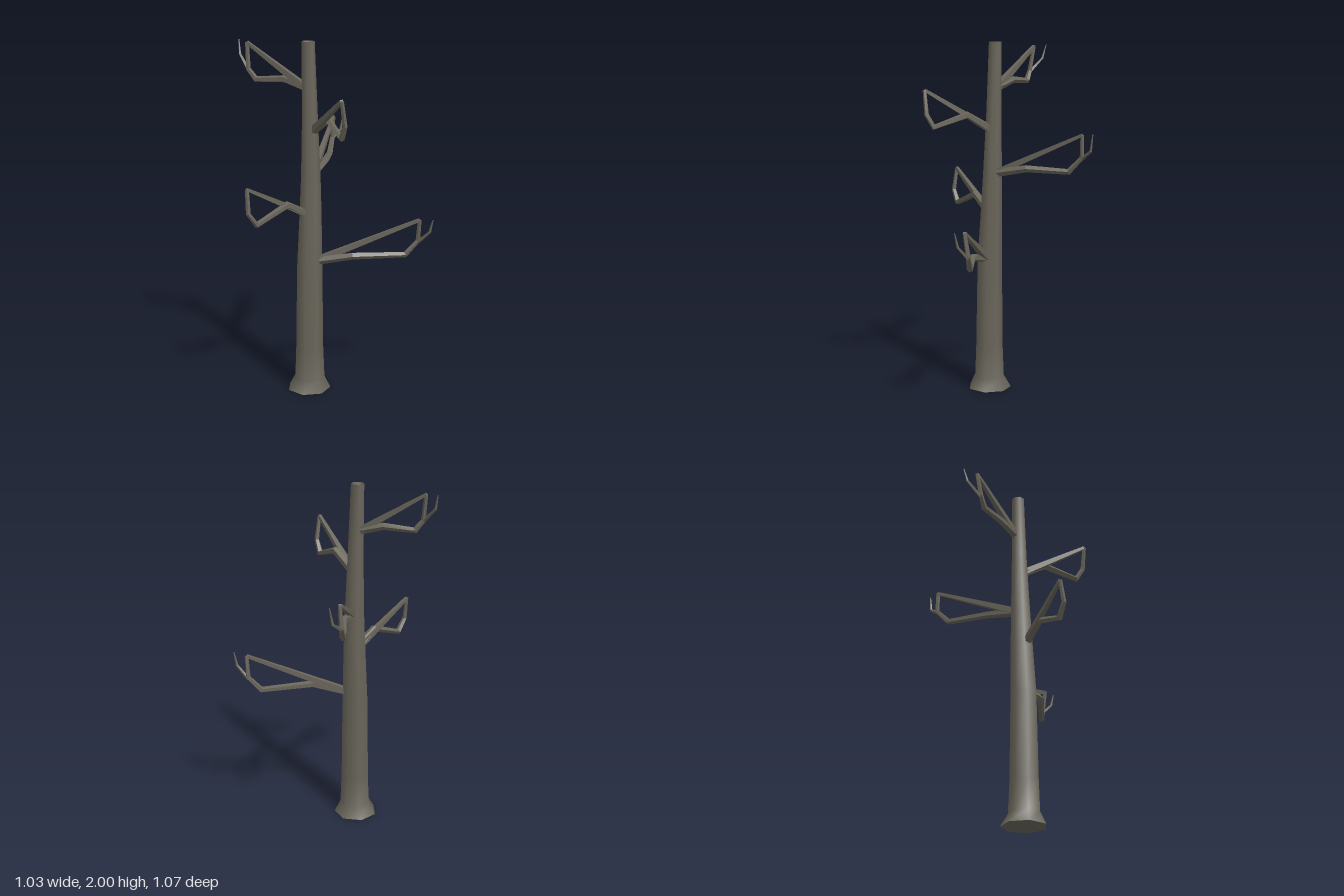
import * as THREE from 'three';
import { toCreasedNormals } from 'three/addons/utils/BufferGeometryUtils.js';

const V = (p) => new THREE.Vector3(...p);

// Closed loft through points with a radius each. `side` orients the rings;
// `axis` fixes the ring normal (otherwise it follows the path).
function loft(points, radii, sides, side, { axis = null, start = 0, crease = 0.3 } = {}) {
  const pts = points.map(V), pos = [], idx = [], n = pts.length;
  pts.forEach((p, i) => {
    let t = axis;
    if (!t) {
      const a = p.clone().sub(pts[Math.max(i - 1, 0)]).normalize();
      const b = pts[Math.min(i + 1, n - 1)].clone().sub(p).normalize();
      t = a.add(b).normalize();
    }
    const u = side.clone().addScaledVector(t, -side.dot(t)).normalize();
    const v = u.clone().cross(t);
    for (let k = 0; k < sides; k++) {
      const a = start + (k / sides) * Math.PI * 2;
      const q = p.clone().addScaledVector(u, Math.cos(a) * radii[i]).addScaledVector(v, Math.sin(a) * radii[i]);
      pos.push(q.x, q.y, q.z);
    }
  });
  for (let i = 0; i < n - 1; i++) {
    for (let k = 0; k < sides; k++) {
      const a = i * sides + k, b = i * sides + (k + 1) % sides;
      idx.push(a, a + sides, b, b, a + sides, b + sides);
    }
  }
  // end caps
  const last = (n - 1) * sides;
  for (let k = 1; k < sides - 1; k++) {
    idx.push(0, k, k + 1, last, last + k + 1, last + k);
  }
  const g = new THREE.BufferGeometry();
  g.setAttribute('position', new THREE.Float32BufferAttribute(pos, 3));
  g.setIndex(idx);
  return toCreasedNormals(g, crease);
}

export function createModel() {
  const model = new THREE.Group();
  model.name = 'bareTree';
  const bark = new THREE.MeshStandardMaterial({ color: 0x69655a });
  bark.name = 'greyBark';

  const add = (parent, name, geometry) => {
    const mesh = new THREE.Mesh(geometry, bark);
    mesh.name = name;
    parent.add(mesh);
  };

  // Trunk: flared foot, gentle lean and taper, shallow hollow at the broken top
  const trunk = [
    [-0.1, 0, -0.06, 0.125], [-0.101, 0.07, -0.056, 0.088], [-0.101, 0.25, -0.056, 0.081],
    [-0.097, 0.75, -0.056, 0.074], [-0.084, 1.05, -0.058, 0.064], [-0.077, 1.27, -0.06, 0.056],
    [-0.073, 1.6, -0.067, 0.045], [-0.072, 2, -0.077, 0.037], [-0.072, 1.92, -0.077, 0.018],
  ];
  add(model, 'trunk', loft(trunk.map((s) => s.slice(0, 3)), trunk.map((s) => s[3]), 7,
    new THREE.Vector3(1, 0, 0), { axis: new THREE.Vector3(0, 1, 0), start: 0.09, crease: 1.05 }));

  // Branches: root, middle, elbow, bend, tip; some carry a twig
  const branches = [
    { name: 'lowFrontBranch',
      limb: [[-0.085, 0.775, -0.02], [0.005, 0.815, 0.17], [0.215, 0.81, 0.385], [0.26, 0.89, 0.44], [0.25, 1.015, 0.455]],
      twig: [[0.26, 0.88, 0.44], [0.262, 0.95, 0.515], [0.26, 1.025, 0.535]] },
    { name: 'rightBranch',
      limb: [[-0.1, 1.04, -0.055], [-0.25, 1.125, -0.09], [-0.455, 1.05, -0.14], [-0.505, 1.12, -0.155], [-0.495, 1.25, -0.17]] },
    { name: 'leftBranch',
      limb: [[-0.05, 1.265, -0.06], [0.14, 1.3, -0.115], [0.35, 1.29, -0.235], [0.42, 1.37, -0.265], [0.425, 1.495, -0.26]],
      twig: [[0.42, 1.365, -0.265], [0.49, 1.41, -0.255], [0.51, 1.505, -0.248]] },
    { name: 'upperFrontBranch',
      limb: [[-0.075, 1.515, -0.04], [-0.12, 1.595, 0.09], [-0.22, 1.53, 0.25], [-0.24, 1.6, 0.285], [-0.262, 1.735, 0.28]] },
    { name: 'topBackBranch',
      limb: [[-0.07, 1.75, -0.1], [-0.085, 1.785, -0.23], [-0.13, 1.775, -0.395], [-0.145, 1.83, -0.435], [-0.13, 1.975, -0.455]],
      twig: [[-0.145, 1.825, -0.435], [-0.12, 1.905, -0.515], [-0.106, 1.985, -0.533]] },
  ];

  for (const { name, limb, twig } of branches) {
    const group = new THREE.Group();
    group.name = name;
    const root = limb[0], tip = limb[4];
    const side = V(tip).sub(V(root)).cross(new THREE.Vector3(0, 1, 0)).normalize();
    add(group, 'limb', loft(limb, [0.025, 0.021, 0.018, 0.014, 0.011], 5, side));
    // straight brace running from the trunk back up to the tip
    add(group, 'brace', loft([root, tip], [0.026, 0.012], 4, side, { start: Math.PI / 4 }));
    if (twig) add(group, 'twig', loft(twig, [0.011, 0.008, 0.003], 4, side));
    model.add(group);
  }
  return model;
}
